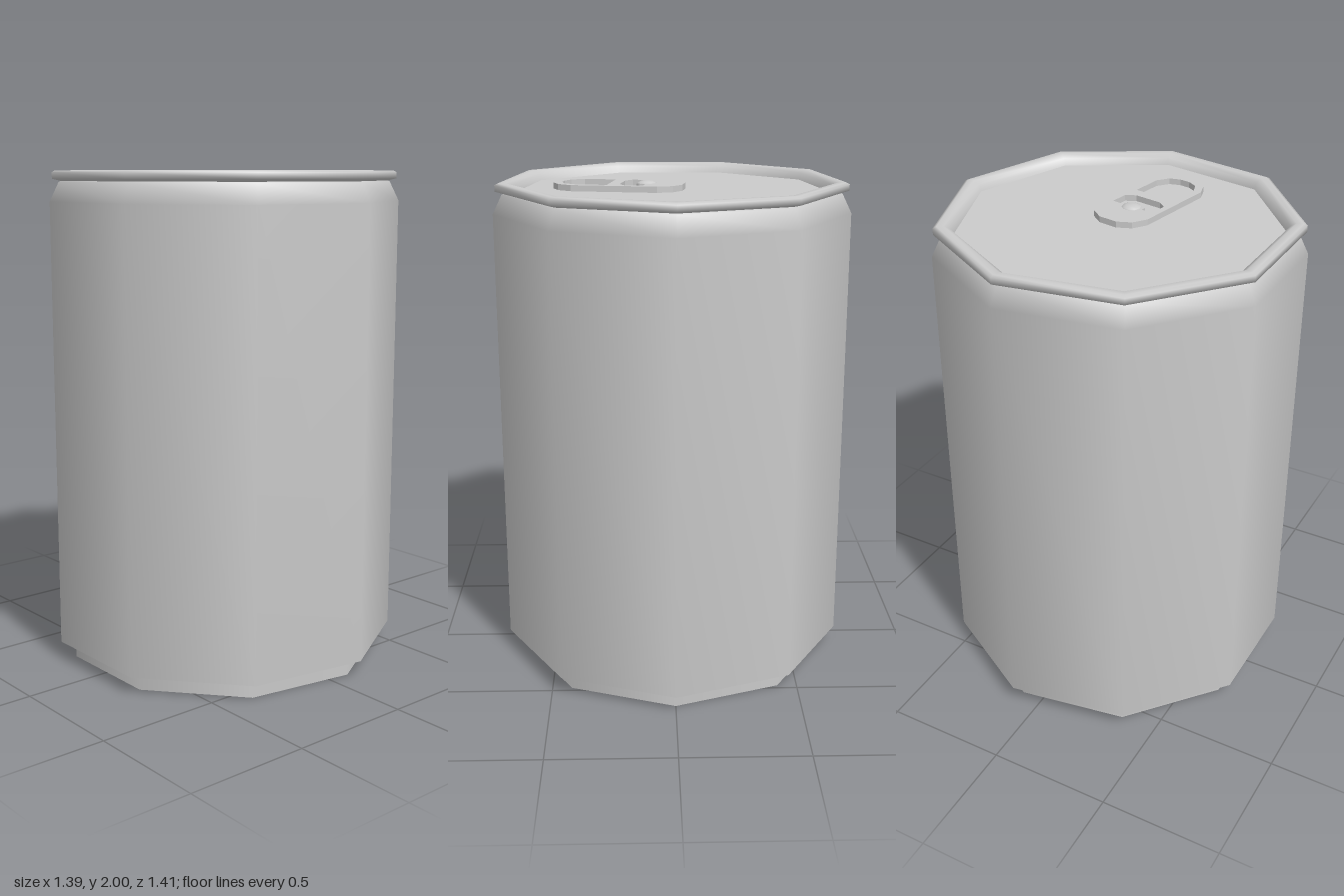
import * as THREE from 'three';

const SIDES = 9;
const LID_Y = 1.96;

export function createModel() {
  const model = new THREE.Group();
  model.name = 'drinkCan';
  const can = new THREE.Group();
  can.name = 'can';
  can.position.x = -0.022; // centres the nine-sided outline on its bounds
  model.add(can);

  const material = new THREE.MeshStandardMaterial({ color: 0xcccccc });
  const add = (name, geometry, parent = can) => {
    const mesh = new THREE.Mesh(geometry, material);
    mesh.name = name;
    parent.add(mesh);
    return mesh;
  };
  const vectors = (pairs) => pairs.map(([x, y]) => new THREE.Vector2(x, y));
  // Nine-sided turned part with one corner on +x
  const turned = (name, profile) =>
    add(name, new THREE.LatheGeometry(vectors(profile), SIDES, Math.PI / 2));

  // Shell: base, foot, wall with shoulders, rolled rim and sunken lid
  turned('base', [[0.655, 0], [0, 0]].reverse());
  turned('foot', [[0.655, 0], [0.655, 0.064]]);
  turned('body', [[0.65, 0.058], [0.717, 0.073], [0.717, 1.88], [0.68, 1.955], [0.66, 1.966]]);
  turned('rim', [
    [0.665, 1.958], [0.706, 1.968], [0.706, 1.993], [0.692, 2],
    [0.665, 2], [0.643, 1.987], [0.633, LID_Y],
  ]);
  turned('lid', [[0.64, LID_Y], [0, LID_Y]]);

  // Pull tab: half outlines are mirrored across the tab's long axis
  const mirrored = (half) =>
    vectors([...half, ...half.map(([x, y]) => [-x, y]).reverse()]);
  const tab = new THREE.Group();
  tab.name = 'pullTab';
  tab.position.set(-0.02, LID_Y, 0.21);
  tab.rotation.y = THREE.MathUtils.degToRad(-10);
  can.add(tab);

  const outline = new THREE.Shape(mirrored([
    [0.04, -0.262], [0.092, -0.231], [0.12, -0.173],
    [0.12, 0.173], [0.092, 0.231], [0.04, 0.262],
  ]));
  const rivetHole = [
    [0.045, -0.09], [0.045, -0.112], [0.095, -0.112],
    [0.095, -0.037], [0.058, -0.012],
  ];
  const fingerHole = [
    [0.092, 0.033], [0.092, 0.162], [0.064, 0.212], [0.022, 0.23],
  ];
  for (const hole of [rivetHole, fingerHole]) {
    outline.holes.push(new THREE.Path(mirrored(hole)));
  }
  const plate = new THREE.ExtrudeGeometry(outline, { depth: 0.024, bevelEnabled: false });
  plate.rotateX(Math.PI / 2);
  add('tabPlate', plate, tab).position.y = 0.026;

  // Rounded rivet holding the tab
  const rivet = add('rivet', new THREE.SphereGeometry(0.043, 10, 6), tab);
  rivet.scale.y = 0.4;
  rivet.position.set(0.003, 0.02, -0.112);

  return model;
}
